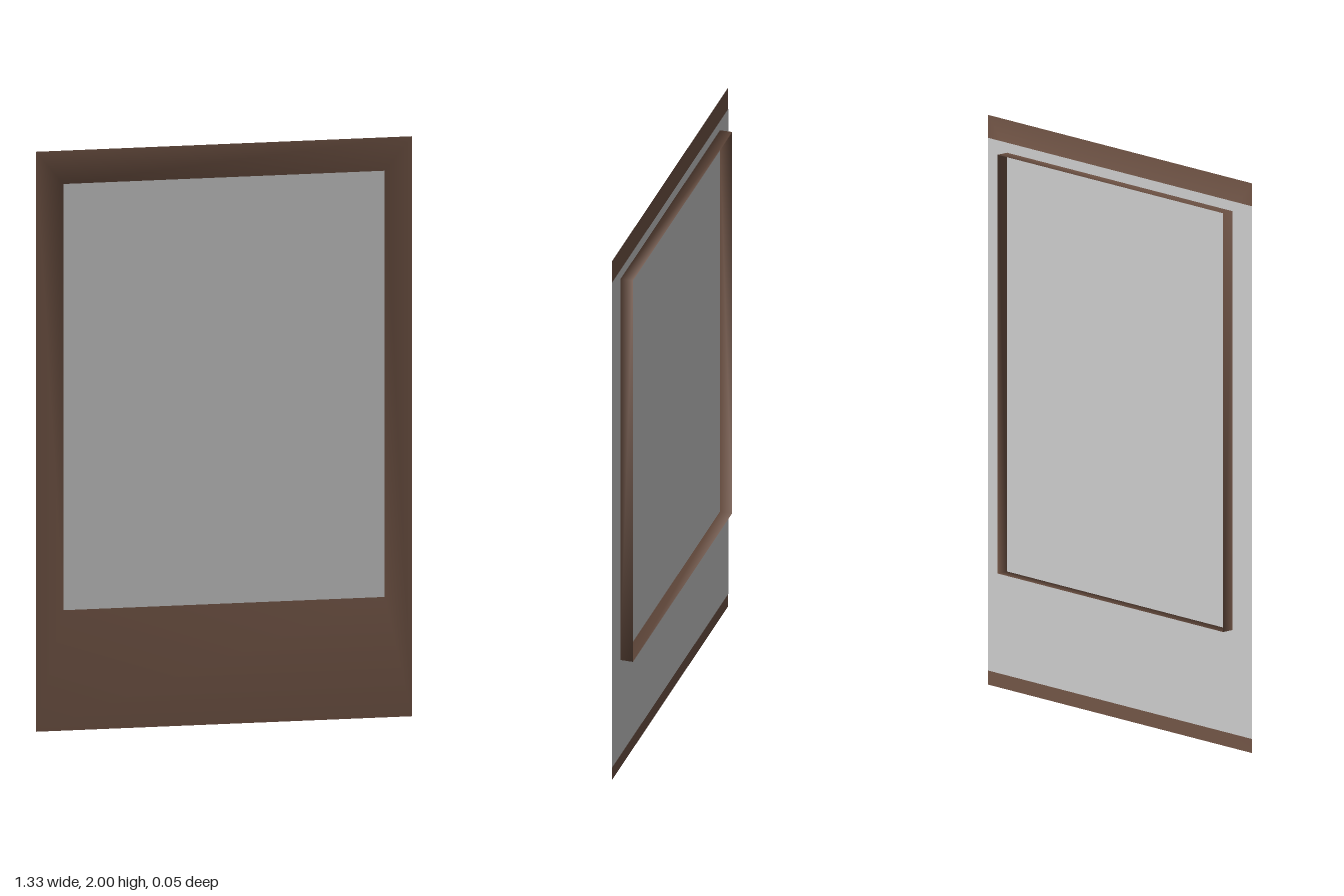
import * as THREE from 'three';

const FRONT = 0.0225, BACK = -0.0225;

// Four corners of a rectangle, counter-clockwise from the lower left
function corners(halfWidth, bottom, top, z) {
  return [
    [-halfWidth, bottom, z], [halfWidth, bottom, z],
    [halfWidth, top, z], [-halfWidth, top, z],
  ];
}

// Joins successive four-cornered loops into one smooth, welded surface
function loftLoops(loops) {
  const index = [];
  for (let r = 0; r < loops.length - 1; r++) {
    for (let i = 0; i < 4; i++) {
      const j = (i + 1) % 4;
      const a = r * 4 + i, b = r * 4 + j, c = b + 4, d = a + 4;
      index.push(a, b, c, a, c, d);
    }
  }
  const geometry = new THREE.BufferGeometry();
  geometry.setAttribute('position', new THREE.Float32BufferAttribute(loops.flat(2), 3));
  geometry.setIndex(index);
  geometry.computeVertexNormals();
  return geometry;
}

export function createModel() {
  const brown = new THREE.MeshStandardMaterial({ name: 'brown frame', color: 0x725546, side: THREE.DoubleSide });
  const grey = new THREE.MeshStandardMaterial({ name: 'grey sheet', color: 0xcccccc, side: THREE.DoubleSide });
  const model = new THREE.Group();
  model.name = 'pictureFrame';

  // Flat border that folds back around the opening into a thin rim
  const frame = new THREE.Mesh(loftLoops([
    corners(0.665, 0, 2, FRONT),
    corners(0.568, 0.415, 1.885, FRONT),
    corners(0.568, 0.415, 1.885, BACK),
  ]), brown);
  frame.name = 'frameAndRim';
  model.add(frame);

  // Picture sheet just behind the border, shorter than it at top and bottom
  const bottom = 0.05, top = 1.92;
  const sheet = new THREE.Mesh(new THREE.PlaneGeometry(1.33, top - bottom), grey);
  sheet.position.set(0, (top + bottom) / 2, FRONT - 0.0015);
  sheet.name = 'pictureSheet';
  model.add(sheet);

  return model;
}
